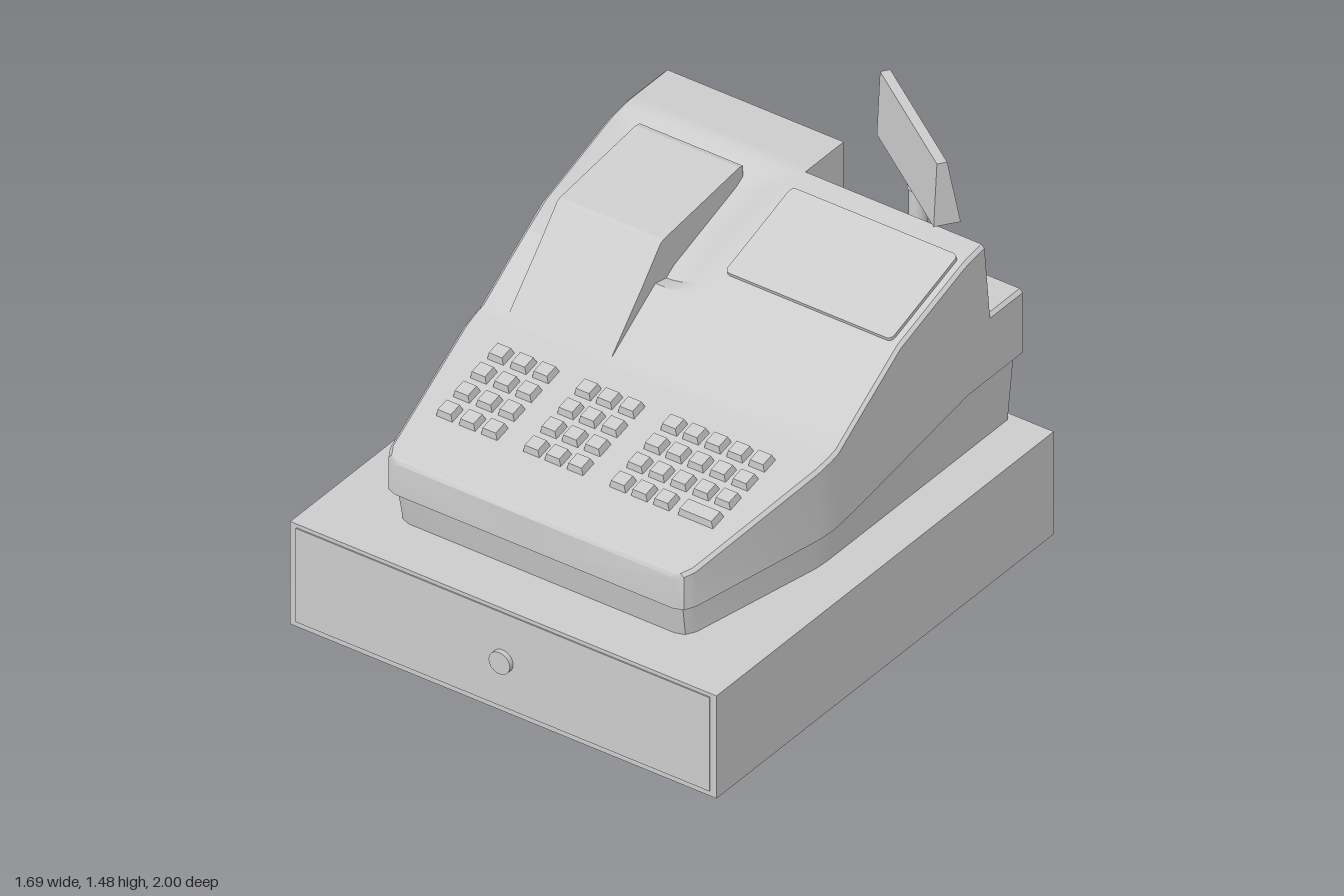
import * as THREE from 'three';
import { toCreasedNormals } from 'three/addons/utils/BufferGeometryUtils.js';

const material = new THREE.MeshStandardMaterial({ color: 0xcccccc });
const openMaterial = new THREE.MeshStandardMaterial({ color: 0xcccccc, side: THREE.DoubleSide });

// Tables of [z, value], running from front to back
const HALF_WIDTH = [[0.81, 0.55], [0.797, 0.585], [0.76, 0.605], [0.22, 0.705], [0.16, 0.71], [-0.89, 0.71]];
const TOP = [[0.81, 0.65], [0.8, 0.667], [0.12, 0.825], [-0.04, 0.93], [-0.22, 1.045], [-0.58, 1.165], [-0.68, 1.18], [-0.89, 1.18]];
const SEAM = [[0.81, 0.53], [0.1, 0.53], [-0.59, 0.645], [-0.89, 0.645]];

function at(table, z) {
  let i = 1;
  while (i < table.length - 1 && z < table[i][0]) i++;
  const [z0, a] = table[i - 1], [z1, b] = table[i];
  return THREE.MathUtils.mapLinear(THREE.MathUtils.clamp(z, z1, z0), z0, z1, a, b);
}

const ramp = THREE.MathUtils.smoothstep;

// Joins rings of equal length, listed front to back, and closes both ends
function loft(rings) {
  const n = rings[0].length, last = (rings.length - 1) * n, index = [];
  for (let i = 0; i < rings.length - 1; i++) {
    for (let j = 0; j < n; j++) {
      const a = i * n + j, b = i * n + (j + 1) % n;
      index.push(a, a + n, b, b, a + n, b + n);
    }
  }
  for (let j = 1; j < n - 1; j++) {
    index.push(0, j, j + 1, last, last + j + 1, last + j);
  }
  const geometry = new THREE.BufferGeometry();
  geometry.setAttribute('position', new THREE.Float32BufferAttribute(rings.flat(2), 3));
  geometry.setIndex(index);
  return toCreasedNormals(geometry, 0.5);
}

// Extrudes a side profile of [z, y] points from x0 to x1
function extrudeX(points, x0, x1) {
  const shape = new THREE.Shape(points.map(([z, y]) => new THREE.Vector2(-z, y)));
  const geometry = new THREE.ExtrudeGeometry(shape, { depth: x1 - x0, bevelEnabled: false });
  return geometry.rotateY(Math.PI / 2).translate(x0, 0, 0);
}

// Housing section: sunken around the printer cover, cut away at the rear for the pole
function housingRing(z) {
  const w = at(HALF_WIDTH, z), bottom = at(SEAM, z);
  const height = (x, rightSide) => {
    if (rightSide && z < -0.7) return 0.89;
    const across = ramp(x, -0.71, -0.6) * (1 - ramp(x, -0.17, 0));
    const along = ramp(z, -0.68, -0.56) * (1 - ramp(z, -0.18, -0.12));
    return at(TOP, z) - 0.05 * across * along;
  };
  const edge = w - 0.012;
  const ring = [[0, bottom, z], [w, bottom, z], [w, height(w, true) - 0.012, z], [edge, height(edge, true), z], [0, height(0, true), z]];
  for (const x of [0, -0.04, -0.085, -0.13, -0.17, -0.6, -0.65, -1]) {
    const cx = Math.max(x, -edge);
    ring.push([cx, height(cx, false), z]);
  }
  ring.push([-w, height(-w, false) - 0.012, z], [-w, bottom, z]);
  return ring;
}

// Plinth section, tapering toward its foot
function plinthRing(z) {
  const w = at(HALF_WIDTH, z) - 0.02, y = at(SEAM, z) + 0.004, zt = z * 0.975, zb = z * 0.945;
  return [[0, 0.4, zb], [w - 0.005, 0.4, zb], [w, y, zt], [-w, y, zt], [-w + 0.005, 0.4, zb]];
}

// Key cap with a narrower top
function keyGeometry(width) {
  const geometry = new THREE.BoxGeometry(width, 0.035, 0.066);
  const p = geometry.attributes.position;
  for (let i = 0; i < p.count; i++) {
    if (p.getY(i) > 0) {
      p.setX(i, p.getX(i) - Math.sign(p.getX(i)) * 0.008);
      p.setZ(i, p.getZ(i) - Math.sign(p.getZ(i)) * 0.008);
    }
  }
  geometry.computeVertexNormals();
  return geometry;
}

export function createModel() {
  const model = new THREE.Group();
  model.name = 'cashRegister';
  const add = (name, geometry, parent = model, mat = material) => {
    const mesh = new THREE.Mesh(geometry, mat);
    mesh.name = name;
    parent.add(mesh);
    return mesh;
  };

  // Cash drawer, open underneath, with front panel and lock
  const box = new THREE.BoxGeometry(1.69, 0.4, 1.85).translate(0, 0.2, 0.052);
  box.setIndex([...box.index.array].filter((_, i) => i < 18 || i >= 24));
  box.clearGroups();
  add('drawerCase', box, model, openMaterial);
  add('drawerFront', new THREE.BoxGeometry(1.64, 0.365, 0.005).translate(0, 0.203, 0.979));
  const lock = add('drawerLock', new THREE.CylinderGeometry(0.042, 0.042, 0.022, 32));
  lock.rotation.x = Math.PI / 2;
  lock.position.set(0, 0.2, 0.989);

  // Register body
  const zs = [0.81, 0.803, 0.797, 0.78, 0.76, 0.22, 0.16, 0.12, -0.04, -0.12, -0.15, -0.18, -0.22,
    -0.4, -0.56, -0.59, -0.62, -0.65, -0.68, -0.71, -0.89];
  add('plinth', loft(zs.map(plinthRing)));
  add('housing', loft(zs.map(housingRing)));

  // Printer cover
  add('printerCover', extrudeX([[0.12, 0.827], [0.06, 0.8], [-0.3, 0.95], [-0.6, 1.08], [-0.6, 1.172],
    [-0.58, 1.176], [-0.165, 1.127], [-0.148, 1.12], [-0.05, 1.008]], -0.6, -0.19));

  // Operator screen, a thin rounded plate on the slope
  const w = 0.33, h = 0.195, r = 0.02;
  const plate = new THREE.Shape();
  plate.absarc(w - r, h - r, r, 0, Math.PI / 2);
  plate.absarc(-w + r, h - r, r, Math.PI / 2, Math.PI);
  plate.absarc(-w + r, -h + r, r, Math.PI, Math.PI * 1.5);
  plate.absarc(w - r, -h + r, r, Math.PI * 1.5, Math.PI * 2);
  const screen = add('operatorScreen', new THREE.ExtrudeGeometry(plate, { depth: 0.016, bevelEnabled: false, curveSegments: 5 }));
  screen.rotation.x = 0.322 - Math.PI / 2;
  screen.position.set(0.345, 1.104, -0.405);

  // Keyboard: three blocks of keys, with one wide key at the front right
  const keyboard = new THREE.Group();
  keyboard.name = 'keyboard';
  model.add(keyboard);
  const columns = [-0.515, -0.425, -0.337, -0.17, -0.085, 0.003, 0.172, 0.258, 0.345, 0.433, 0.52];
  const smallKey = keyGeometry(0.068), wideKey = keyGeometry(0.142);
  const addKey = (geometry, x, z) => {
    const key = add('key', geometry, keyboard);
    key.position.set(x, at(TOP, z) + 0.009, z);
    key.rotation.x = 0.228;
  };
  for (let row = 0; row < 4; row++) {
    const z = 0.28 + row * 0.0935;
    const count = row === 3 ? 9 : 11;
    columns.slice(0, count).forEach((x) => addKey(smallKey, x, z));
    if (row === 3) {
      addKey(smallKey, 0.345 - 0.0, z);
      keyboard.children.pop();
      addKey(wideKey, 0.481, z);
    }
  }

  // Customer display on its pole, turned toward the back
  const display = new THREE.Group();
  display.name = 'customerDisplay';
  display.position.set(0.3625, 0, -0.8);
  model.add(display);
  const pole = add('pole', new THREE.CylinderGeometry(0.031, 0.031, 0.36, 24), display);
  pole.position.set(0.003, 1.06, 0.007);
  const collar = add('poleCollar', new THREE.CylinderGeometry(0.037, 0.037, 0.03, 24), display);
  collar.position.set(0.003, 1.222, 0.007);
  const head = add('displayHead', extrudeX([[0.046, 1.235], [-0.046, 1.235], [0.0, 1.478], [0.035, 1.478]], -0.278, 0.278), display);
  head.rotation.y = -0.61;

  return model;
}
